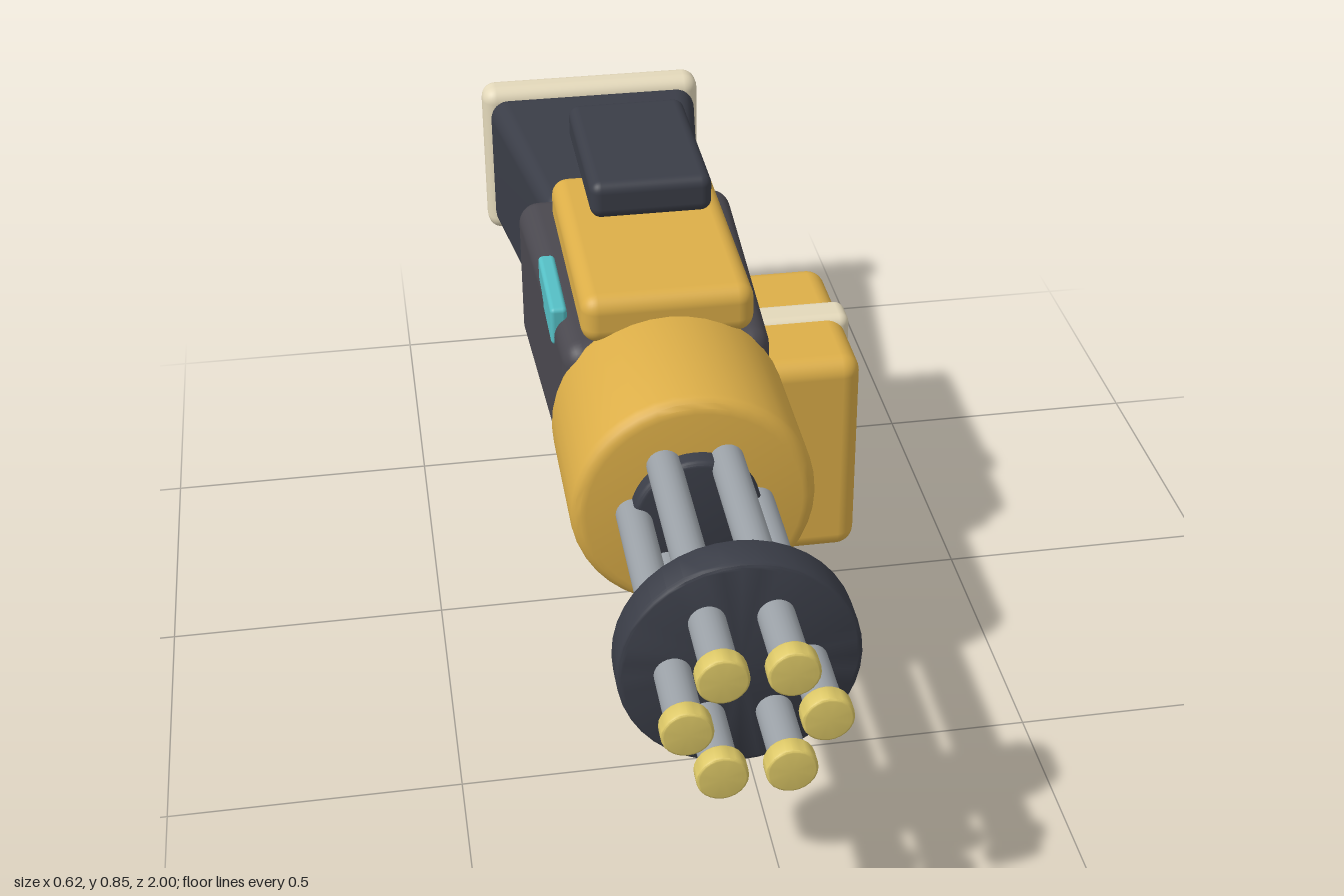
import * as THREE from 'three';
import { RoundedBoxGeometry } from 'three/addons/geometries/RoundedBoxGeometry.js';
import { mergeVertices, toCreasedNormals } from 'three/addons/utils/BufferGeometryUtils.js';

const AXIS_X = -0.08, AXIS_Y = 0.487; // line the barrels spin around

const paint = (color) => new THREE.MeshStandardMaterial({ color });
const yellow = paint(0xdcae48), brass = paint(0xdcc766), dark = paint(0x3a3d47);
const charcoal = paint(0x4a484f), steel = paint(0x9aa0a6), cream = paint(0xe3d8ba), cyan = paint(0x55bfc5);

export function createModel() {
  const model = new THREE.Group();
  model.name = 'rotaryBlaster';

  function add(name, geometry, material, x = 0, y = 0, z = 0) {
    const mesh = new THREE.Mesh(geometry, material);
    mesh.name = name;
    mesh.position.set(x, y, z);
    model.add(mesh);
    return mesh;
  }

  // Rounded box given by its limits on each axis
  function block(name, material, [x0, x1], [y0, y1], [z0, z1], radius) {
    const geometry = new RoundedBoxGeometry(x1 - x0, y1 - y0, z1 - z0, 4, radius);
    return add(name, geometry, material, (x0 + x1) / 2, (y0 + y1) / 2, (z0 + z1) / 2);
  }

  // Rounded box whose width runs from backWidth to frontWidth along z
  function taperedBlock(name, material, backWidth, frontWidth, [y0, y1], [z0, z1], radius) {
    const depth = z1 - z0;
    let geometry = new RoundedBoxGeometry(backWidth, y1 - y0, depth, 4, radius);
    const p = geometry.attributes.position;
    for (let i = 0; i < p.count; i++) {
      const t = p.getZ(i) / depth + 0.5;
      p.setX(i, p.getX(i) * THREE.MathUtils.lerp(1, frontWidth / backWidth, t));
    }
    geometry.deleteAttribute('normal');
    geometry.deleteAttribute('uv');
    geometry = mergeVertices(geometry, 1e-5);
    geometry.computeVertexNormals();
    return add(name, geometry, material, AXIS_X, (y0 + y1) / 2, (z0 + z1) / 2);
  }

  // Solid drum along z with filleted rims
  function drum(name, material, radius, [z0, z1], fillet, x = AXIS_X, y = AXIS_Y, sides = 40) {
    const points = [new THREE.Vector2(0, z0)];
    for (const [z, start] of [[z0 + fillet, -Math.PI / 2], [z1 - fillet, 0]]) {
      for (let i = 0; i <= 4; i++) {
        const a = start + (i / 4) * Math.PI / 2;
        points.push(new THREE.Vector2(radius - fillet + fillet * Math.cos(a), z + fillet * Math.sin(a)));
      }
    }
    points.push(new THREE.Vector2(0, z1));
    const geometry = new THREE.LatheGeometry(points, sides).rotateX(Math.PI / 2);
    return add(name, toCreasedNormals(geometry, 0.6), material, x, y, 0);
  }

  // Body and shoulder stock
  taperedBlock('receiver', charcoal, 0.415, 0.365, [0.342, 0.641], [-0.445, 0.15], 0.04);
  taperedBlock('stock', dark, 0.442, 0.3, [0.335, 0.63], [-0.94, -0.43], 0.04);
  block('buttPlate', cream, [-0.31, 0.15], [0.315, 0.645], [-1, -0.925], 0.03);

  // Grip, leaning back towards its top
  const grip = add('grip', new RoundedBoxGeometry(0.208, 0.42, 0.17, 4, 0.04), dark, -0.079, 0.218, -0.403);
  grip.rotation.x = -0.155;

  // Top cover, raised sight and side indicator
  block('topCover', yellow, [-0.23, 0.073], [0.645, 0.737], [-0.34, 0.15], 0.03);
  block('sight', dark, [-0.187, 0.03], [0.787, 0.857], [-0.39, -0.045], 0.02);
  block('indicator', cyan, [-0.273, -0.243], [0.585, 0.658], [-0.175, 0.03], 0.008);

  // Side ammunition box with its strap
  block('ammoBox', yellow, [0.088, 0.297], [0.077, 0.497], [-0.345, 0.03], 0.035);
  block('ammoStrap', cream, [0.085, 0.307], [0.069, 0.504], [-0.195, -0.12], 0.02);

  // Barrel housing, hub and front clamp
  drum('barrelHousing', yellow, 0.208, [0.115, 0.428], 0.025);
  drum('barrelHub', dark, 0.11, [0.3, 0.46], 0.01);
  drum('barrelClamp', dark, 0.19, [0.785, 0.855], 0.01);

  // Ring of six barrels with brass muzzles
  for (let i = 0; i < 6; i++) {
    const a = (i * Math.PI) / 3;
    const x = AXIS_X + 0.105 * Math.cos(a), y = AXIS_Y + 0.105 * Math.sin(a);
    const barrel = new THREE.CylinderGeometry(0.029, 0.029, 0.6, 24).rotateX(Math.PI / 2);
    add('barrel', barrel, steel, x, y, 0.69);
    drum('muzzle', brass, 0.04, [0.967, 1], 0.005, x, y, 24);
  }

  return model;
}
